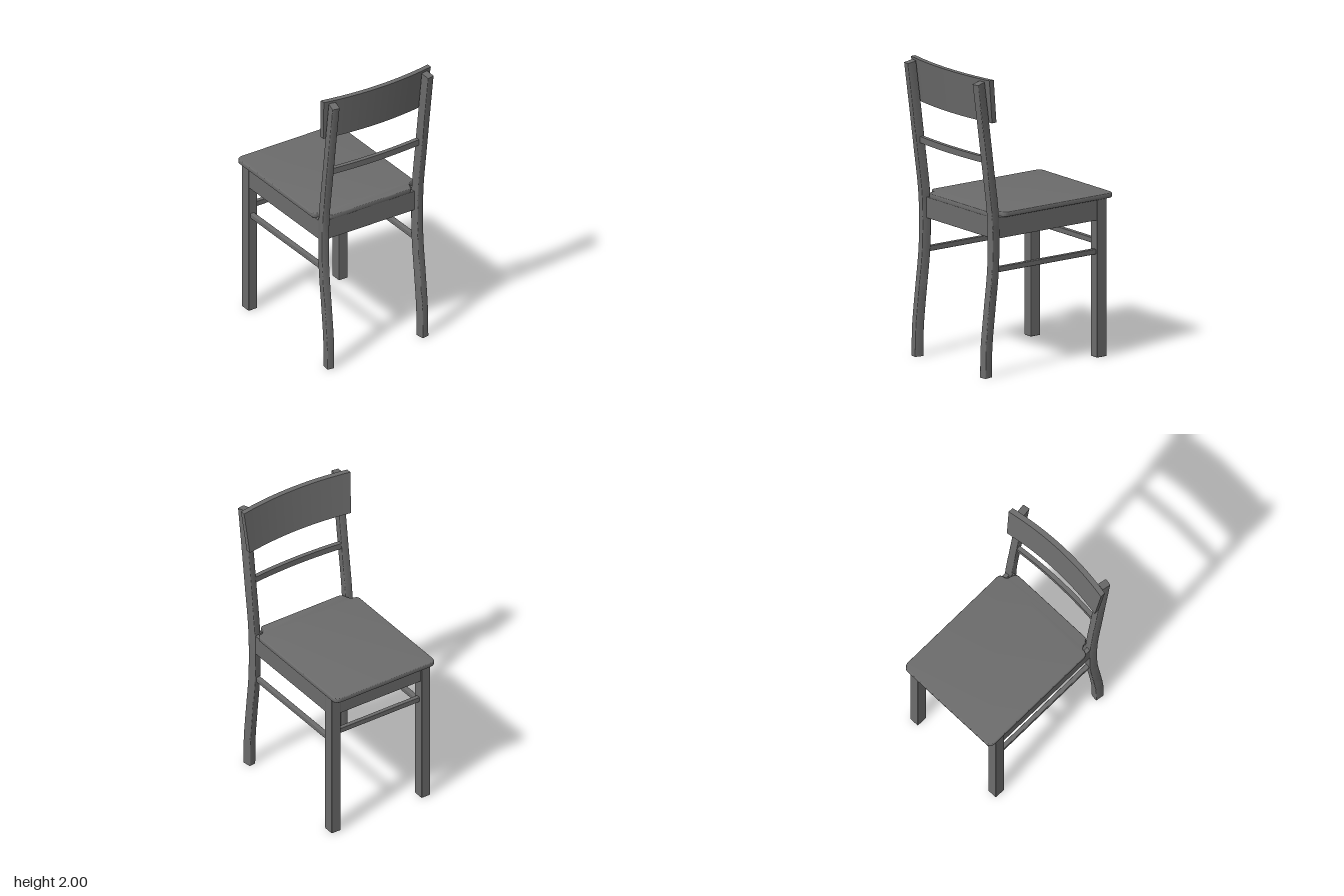
import * as THREE from 'three';
import { toCreasedNormals } from 'three/addons/utils/BufferGeometryUtils.js';
import { RoundedBoxGeometry } from 'three/addons/geometries/RoundedBoxGeometry.js';

const material = new THREE.MeshStandardMaterial({ color: 0x6c6c6c });
const CX = -0.005; // centre line of seat and legs

function add(group, name, geometry) {
  const mesh = new THREE.Mesh(geometry, material);
  mesh.name = name;
  group.add(mesh);
}

// Softly rounded bar given by its limits on each axis
function bar(group, name, x0, x1, y0, y1, z0, z1, r = 0.005) {
  const geo = new RoundedBoxGeometry(x1 - x0, y1 - y0, z1 - z0, 2, r);
  geo.translate((x0 + x1) / 2, (y0 + y1) / 2, (z0 + z1) / 2);
  add(group, name, geo);
}

// Apply a rule to every vertex
function deform(geo, rule) {
  const p = geo.attributes.position;
  const v = new THREE.Vector3();
  for (let i = 0; i < p.count; i++) {
    v.fromBufferAttribute(p, i);
    rule(v);
    p.setXYZ(i, v.x, v.y, v.z);
  }
  geo.computeVertexNormals();
  return geo;
}

function roundedRect(w, d, r) {
  const s = new THREE.Shape();
  s.absarc(w / 2 - r, d / 2 - r, r, 0, Math.PI / 2);
  s.absarc(-w / 2 + r, d / 2 - r, r, Math.PI / 2, Math.PI);
  s.absarc(-w / 2 + r, -d / 2 + r, r, Math.PI, Math.PI * 1.5);
  s.absarc(w / 2 - r, -d / 2 + r, r, Math.PI * 1.5, Math.PI * 2);
  s.closePath();
  return s;
}

// Rear leg and back post in one sweeping piece, turned slightly about its length
function postGeometry(side) {
  const path = new THREE.CatmullRomCurve3(
    [[0, 0.466], [0.2, 0.462], [0.45, 0.437], [0.7, 0.41], [0.9, 0.405], [1.1, 0.412],
      [1.4, 0.45], [1.7, 0.489], [1.98, 0.527]].map(([y, z]) => new THREE.Vector3(0, y, z)));
  const geo = new THREE.ExtrudeGeometry(roundedRect(0.05, 0.063, 0.005),
    { depth: 1, steps: 30, bevelEnabled: false, curveSegments: 3 });
  // the outline's y runs towards -z, so faces keep pointing outward
  deform(geo, (v) => {
    const c = path.getPoint(v.z);
    const depth = -v.y;
    const slant = Math.max(0, v.z - 0.5) * 0.4 * depth;
    v.set(CX * 0.6 + side * (0.367 + depth * 0.16) + v.x, c.y - slant,
      c.z + depth - side * 0.16 * v.x);
  });
  return toCreasedNormals(geo, 0.6);
}

// Seat board with rounded front corners and notches around the rear posts
function seatGeometry() {
  const b = 0.006, w = 0.397 - b, f = -0.562 + b, k = 0.412 - b, r = 0.04;
  const s = new THREE.Shape();
  s.moveTo(-w + r, f);
  s.lineTo(w - r, f);
  s.quadraticCurveTo(w, f, w, f + r);
  s.lineTo(w, 0.305);
  s.quadraticCurveTo(w, 0.33, w - 0.025, 0.333);
  s.quadraticCurveTo(0.34, 0.335, 0.33, 0.365);
  s.quadraticCurveTo(0.322, k, 0.295, k);
  s.lineTo(-0.295, k);
  s.quadraticCurveTo(-0.322, k, -0.33, 0.365);
  s.quadraticCurveTo(-0.34, 0.335, -w + 0.025, 0.333);
  s.quadraticCurveTo(-w, 0.33, -w, 0.305);
  s.lineTo(-w, f + r);
  s.quadraticCurveTo(-w, f, -w + r, f);
  const geo = new THREE.ExtrudeGeometry(s, {
    depth: 0.033 - 2 * b, bevelEnabled: true, bevelSize: b, bevelThickness: b,
    bevelSegments: 3, curveSegments: 8,
  });
  geo.rotateX(Math.PI / 2);
  geo.translate(CX, 1.09 - b, 0);
  return toCreasedNormals(geo, 0.6);
}

export function createModel() {
  const chair = new THREE.Group();
  chair.name = 'chair';

  add(chair, 'seat', seatGeometry());

  // Parts repeated on both sides
  for (const side of [1, -1]) {
    const label = side > 0 ? 'left' : 'right';
    const mirrored = (name, a, b, ...rest) => {
      const xs = [CX + side * a, CX + side * b].sort((m, n) => m - n);
      bar(chair, label + name, xs[0], xs[1], ...rest);
    };
    add(chair, label + 'BackPost', postGeometry(side));
    mirrored('FrontLeg', 0.32, 0.39, 0, 1.06, -0.505, -0.427);
    mirrored('SideApron', 0.355, 0.385, 0.92, 1.06, -0.44, 0.39, 0.002);
    mirrored('SideStretcher', 0.345, 0.375, 0.69, 0.726, -0.44, 0.39);
  }

  // Cross members
  bar(chair, 'frontApron', -0.335, 0.325, 0.92, 1.06, -0.495, -0.465, 0.002);
  bar(chair, 'rearApron', -0.355, 0.35, 0.92, 1.06, 0.38, 0.41, 0.002);
  bar(chair, 'frontStretcher', -0.335, 0.325, 0.749, 0.785, -0.482, -0.45);

  // Bowed, tilted crest board, flaring towards the top
  const crest = new THREE.BoxGeometry(0.84, 0.294, 0.036, 32, 1, 1);
  add(chair, 'crestBoard', deform(crest, (v) => {
    const t = v.y / 0.294 + 0.5;
    const x = v.x * (0.952 + 0.048 * t);
    v.set(x, 1.706 + t * 0.294, 0.463 + 0.041 * t + v.z - 0.23 * x * x);
  }));

  // Slim bowed rail below it
  const rail = new THREE.BoxGeometry(0.7, 0.042, 0.03, 24, 1, 1);
  add(chair, 'backRail', deform(rail, (v) => {
    v.y += 1.452;
    v.z += 0.467 - 0.15 * v.x * v.x;
  }));

  return chair;
}
